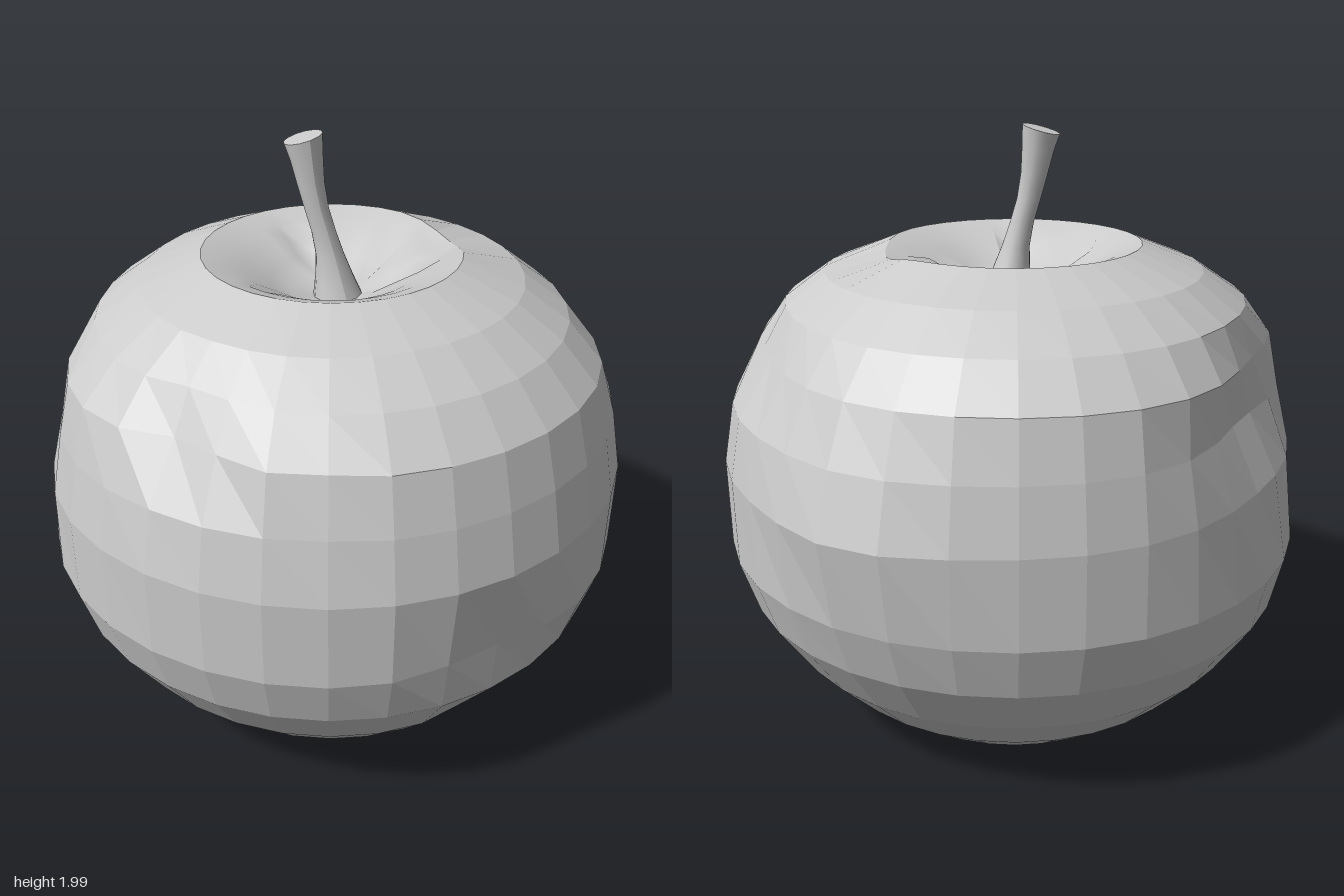
import * as THREE from 'three';

const SIDES = 32;

// Dents in the skin: direction (x, z), height, depth (negative bulges), angular spread, height spread
const DENTS = [
  [-0.78, -0.56, 1.31, 0.085, 0.42, 0.10],
  [-0.74, -0.62, 1.13, 0.11, 0.44, 0.09],
  [-0.74, -0.66, 0.90, 0.075, 0.52, 0.22],
  [-0.77, 0.58, 1.33, 0.10, 0.21, 0.13],
  [-0.40, 0.85, 1.25, 0.03, 0.15, 0.12],
  [0.15, 0.95, 0.64, 0.05, 0.25, 0.09],
  [0.35, 0.90, 0.28, 0.04, 0.25, 0.09],
  [1.00, -0.12, 1.34, 0.08, 0.50, 0.09],
  [0.65, -0.75, 0.95, -0.06, 0.30, 0.22],
];

function angleGap(a, b) {
  return Math.atan2(Math.sin(a - b), Math.cos(a - b));
}

function dentDepth(angle, y) {
  let depth = 0;
  for (const [x, z, height, amount, spread, rise] of DENTS) {
    const da = angleGap(angle, Math.atan2(x, z)) / spread;
    const dy = (y - height) / rise;
    depth += amount * Math.exp(-da * da - dy * dy);
  }
  return depth;
}

// The rim around the stem sags on one side
function rimSag(v) {
  const da = angleGap(Math.atan2(v.x, v.z), Math.PI / 2) / 0.35;
  return 0.035 * Math.exp(-da * da);
}

function revolve(profile, sides = SIDES) {
  return new THREE.LatheGeometry(profile.map(([r, y]) => new THREE.Vector2(r, y)), sides);
}

function moveVertices(geometry, rule) {
  const p = geometry.attributes.position;
  const v = new THREE.Vector3();
  for (let i = 0; i < p.count; i++) {
    v.fromBufferAttribute(p, i);
    rule(v);
    p.setXYZ(i, v.x, v.y, v.z);
  }
  geometry.computeVertexNormals();
  return geometry;
}

function part(name, geometry, flatShading) {
  const material = new THREE.MeshStandardMaterial({ color: 0xcccccc, flatShading, side: THREE.DoubleSide });
  const mesh = new THREE.Mesh(geometry, material);
  mesh.name = name;
  return mesh;
}

// Faceted skin, pushed in or out at the dents
function makeSkin() {
  const geometry = revolve([
    [0.455, 0.01], [0.64, 0.14], [0.78, 0.28], [0.905, 0.46], [0.965, 0.64],
    [0.97, 0.93], [0.935, 1.13], [0.89, 1.31], [0.77, 1.44], [0.62, 1.54], [0.42, 1.62],
  ]);
  moveVertices(geometry, (v) => {
    if (v.y < 0.05) return;
    if (v.y > 1.6) {
      v.y -= rimSag(v);
      return;
    }
    const r = Math.hypot(v.x, v.z);
    const scale = (r - dentDepth(Math.atan2(v.x, v.z), v.y)) / r;
    v.x *= scale;
    v.z *= scale;
  });
  return part('skin', geometry, true);
}

// Hollow around the stem, with a few sharp radial creases
function makeTopHollow() {
  const creases = [[0, -1], [0.9, -0.3], [0.9, 0.4], [-0.15, 1], [-0.4, 1], [-0.95, 0.35]]
    .map(([x, z]) => Math.atan2(x, z));
  const geometry = revolve([
    [0.42, 1.62], [0.35, 1.597], [0.28, 1.565], [0.2, 1.52], [0.13, 1.48], [0, 1.455],
  ]);
  moveVertices(geometry, (v) => {
    const r = Math.hypot(v.x, v.z);
    if (r > 0.3) v.y -= rimSag(v);
    if (r < 0.15 || r > 0.3) return;
    const angle = Math.atan2(v.x, v.z);
    for (const c of creases) if (Math.abs(angleGap(angle, c)) < 0.1) v.y -= 0.03;
  });
  return part('topHollow', geometry, false);
}

// Shallow hollow underneath
function makeBaseHollow() {
  return part('baseHollow', revolve([[0, 0.09], [0.1, 0.085], [0.2, 0.07], [0.33, 0.035], [0.455, 0.01]]), false);
}

// Leaning stem: a revolved profile shifted along a curve, with a slanted tip
function makeStem() {
  const group = new THREE.Group();
  group.name = 'stem';
  const path = new THREE.CatmullRomCurve3([
    new THREE.Vector3(0.02, 1.45, 0.01), new THREE.Vector3(-0.01, 1.62, 0),
    new THREE.Vector3(-0.055, 1.80, -0.02), new THREE.Vector3(-0.08, 1.983, -0.04),
  ]);
  const lean = (v) => {
    const t = v.y;
    const c = path.getPoint(t);
    const slant = t > 0.99 ? 0.25 * v.x + 0.1 * v.z : 0;
    v.set(c.x + v.x, c.y + slant, c.z + v.z);
  };
  const side = revolve([
    [0.085, 0], [0.064, 0.15], [0.047, 0.3], [0.04, 0.45], [0.04, 0.6], [0.045, 0.75], [0.053, 0.88], [0.061, 1],
  ], 12);
  const tip = revolve([[0.061, 1], [0, 1]], 12);
  group.add(part('stemSide', moveVertices(side, lean), false));
  group.add(part('stemTip', moveVertices(tip, lean), true));
  return group;
}

export function createModel() {
  const model = new THREE.Group();
  model.name = 'apple';
  model.add(makeSkin(), makeTopHollow(), makeBaseHollow(), makeStem());
  return model;
}
